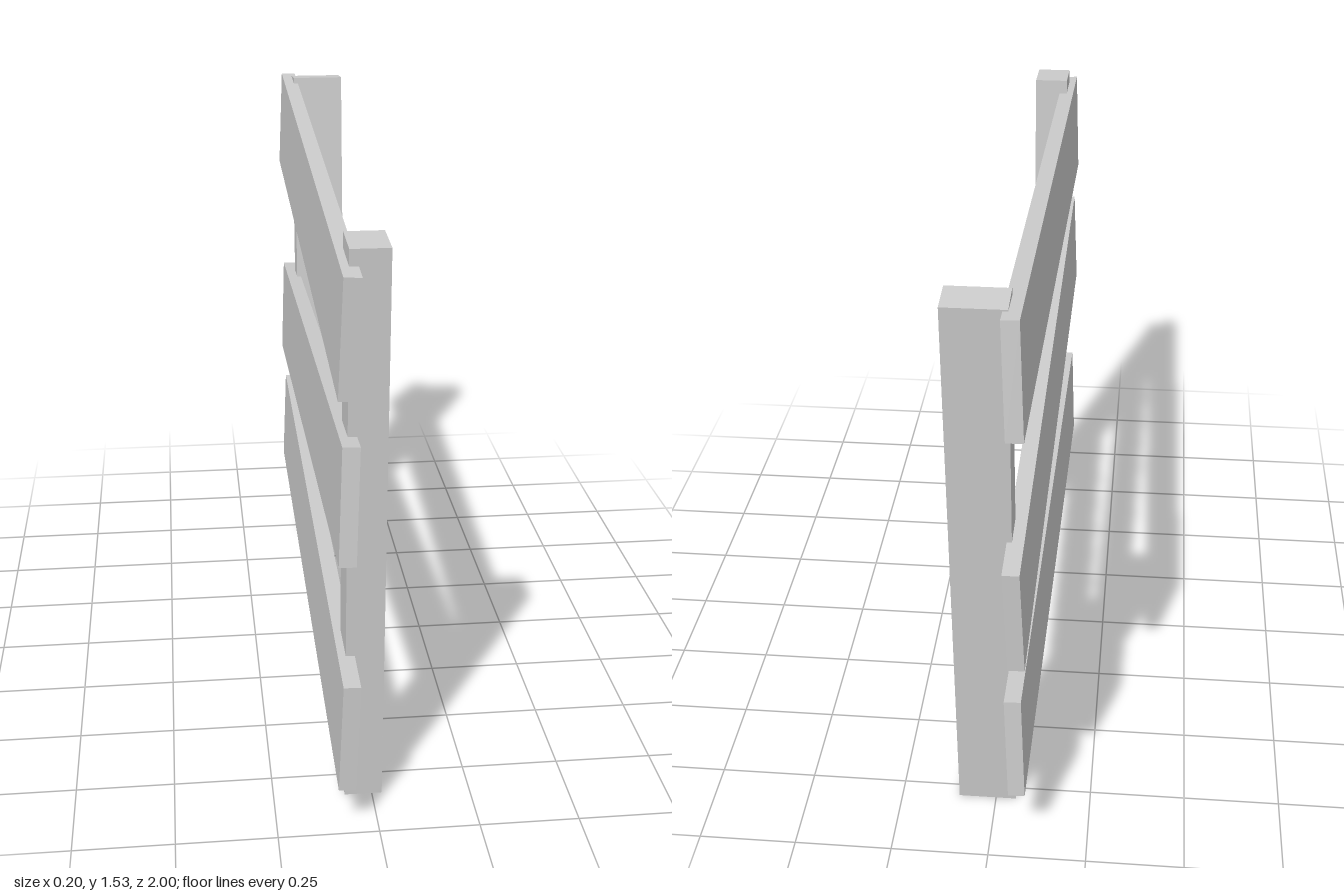
import * as THREE from 'three';

export function createModel() {
  const model = new THREE.Group();
  model.name = 'woodenFence';
  const wood = new THREE.MeshStandardMaterial({ color: 0xcccccc, flatShading: true });

  function addBeam(name, size, position, rotation) {
    const beam = new THREE.Mesh(new THREE.BoxGeometry(...size), wood);
    beam.name = name;
    beam.position.set(...position);
    beam.rotation.set(...rotation);
    model.add(beam);
  }

  // Leaning posts
  addBeam('frontPost', [0.095, 1.459, 0.126], [-0.022, 0.734, 0.813], [0.049, 0, 0]);
  addBeam('backPost', [0.151, 1.526, 0.092], [0.0225, 0.766, -0.817], [-0.094, 0, 0]);

  // Crooked planks: [name, centre height, centre depth, slope]
  const planks = [
    ['bottomPlank', 0.299, 0.013, 0.0333],
    ['middlePlank', 0.799, -0.006, -0.07],
    ['topPlank', 1.3225, -0.0075, 0.0534],
  ];
  for (const [name, y, z, slope] of planks) {
    addBeam(name, [0.042, 0.292, 1.967], [-0.07, y, z], [slope, -0.004, -0.035]);
  }

  return model;
}
